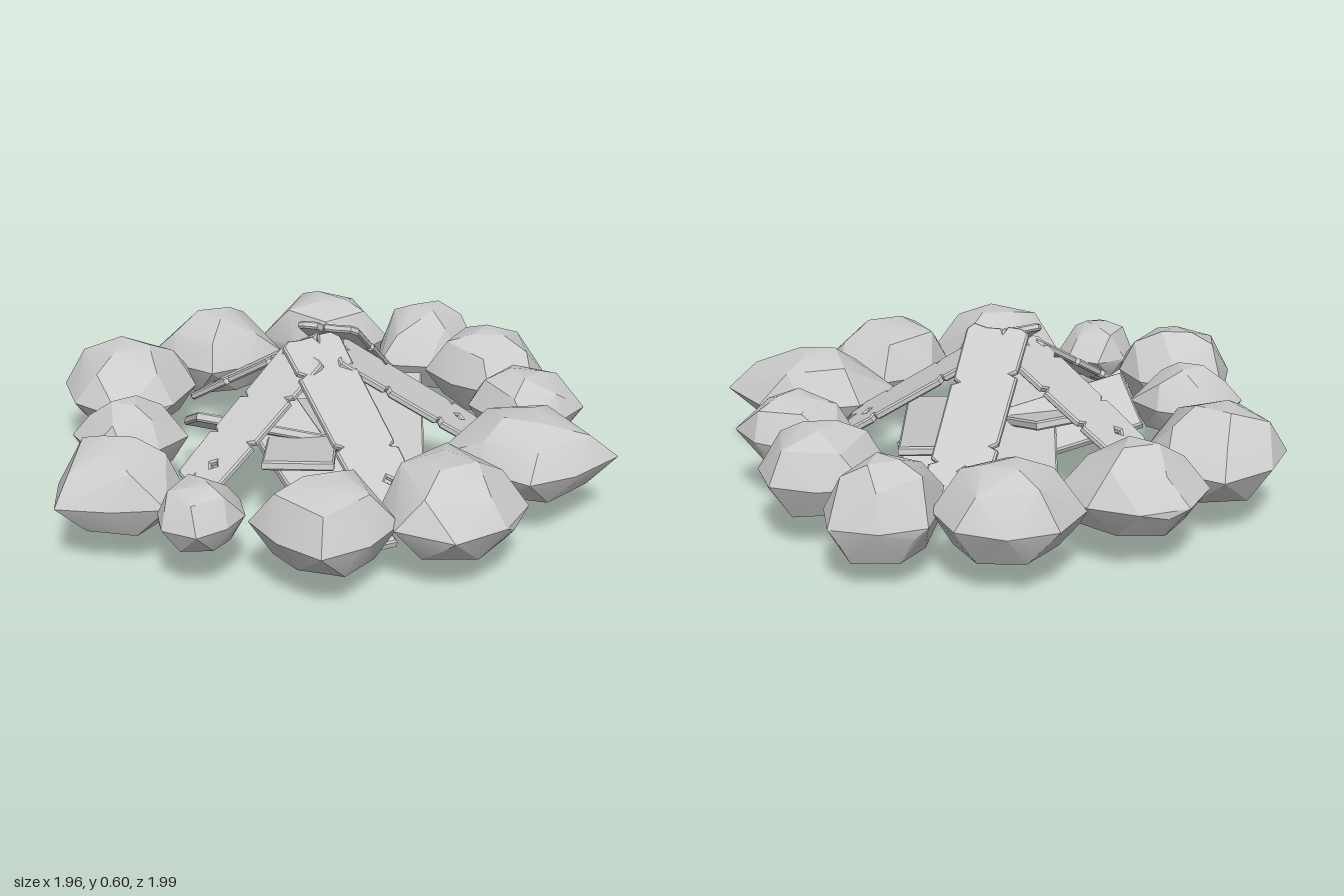
import * as THREE from 'three';
import { ConvexGeometry } from 'three/addons/geometries/ConvexGeometry.js';
import { toCreasedNormals } from 'three/addons/utils/BufferGeometryUtils.js';

const material = new THREE.MeshStandardMaterial({ color: 0xcccccc });

// Small seeded generator, returns values in -1..1
function seeded(seed) {
  let s = seed * 7919 + 17;
  return () => {
    s = (s * 16807) % 2147483647;
    return (s / 2147483647) * 2 - 1;
  };
}

// Faceted stone: hull of a wide waist, a shoulder, a small crown and a flat foot.
// radii: eight hundredths-of-a-unit reaches, starting at +x and turning toward +z
function makeStone(index, cx, cz, radii, bottom, top) {
  const rand = seeded(index + 1);
  rand(); rand();
  const points = [];
  const height = top - bottom;
  const reach = (angle) => {
    const t = ((angle / (Math.PI / 4)) % 8 + 8) % 8;
    const i = Math.floor(t);
    return THREE.MathUtils.lerp(radii[i], radii[(i + 1) % 8], t - i) / 100;
  };
  const ring = (count, scale, level, wobble, turn) => {
    for (let i = 0; i < count; i++) {
      const a = turn + (i / count) * Math.PI * 2;
      const r = reach(a) * scale * (1 + wobble * rand());
      const y = bottom + height * THREE.MathUtils.clamp(level + wobble * rand(), 0, 1);
      points.push(new THREE.Vector3(cx + Math.cos(a) * r, y, cz + Math.sin(a) * r));
    }
  };
  ring(8, 1, 0.43, 0, 0);
  ring(5, 0.88, 0.3, 0.06, rand());
  ring(5, 0.7, 0.82, 0.07, rand());
  ring(3, 0.3, 1, 0.03, rand() * 2);
  ring(6, 0.7, 0.02, 0.06, rand());
  const mesh = new THREE.Mesh(toCreasedNormals(new ConvexGeometry(points), 0.42), material);
  mesh.name = 'stone' + (index + 1);
  return mesh;
}

// Plank outline: plain rectangle, or worn with ragged ends, side nicks and a nail hole
function plankOutline(length, width, worn, seed) {
  const h = width / 2;
  if (!worn) {
    return new THREE.Shape([[0, -h], [length, -h], [length, h], [0, h]].map((p) => new THREE.Vector2(...p)));
  }
  const rand = seeded(seed);
  rand(); rand();
  const pts = [];
  const side = (sign) => {
    const edge = [[0.03, 0]];
    for (const at of [0.3, 0.72]) {
      const x = at + rand() * 0.1;
      edge.push([x - 0.02, 0.004], [x, 0.026], [x + 0.015, 0]);
    }
    edge.push([0.97, 0.008]);
    const mapped = edge.map(([t, d]) => new THREE.Vector2(t * length, sign * (h - d)));
    return sign < 0 ? mapped : mapped.reverse();
  };
  const end = (x, sign) => {
    for (const v of [-0.75, -0.3, -0.2, -0.1, 0.35, 0.8]) {
      const nick = v === -0.2 ? 0.03 : 0.008 * rand();
      pts.push(new THREE.Vector2(x - sign * nick, sign * v * h));
    }
  };
  pts.push(...side(-1));
  end(length, 1);
  pts.push(...side(1));
  end(0, -1);
  const shape = new THREE.Shape(pts);
  const hx = length * 0.85;
  const hy = 0.15 * h;
  const r = 0.016;
  shape.holes.push(new THREE.Path([[r, 0], [0, -r], [-r, 0], [0, r]].map(([x, y]) => new THREE.Vector2(hx + x, hy + y))));
  return shape;
}

// Plank laid between two end points, with roll about its length
function makePlank(name, from, to, width, { worn = false, roll = 0, seed = 1 } = {}) {
  const a = new THREE.Vector3(...from);
  const along = new THREE.Vector3(...to).sub(a);
  const length = along.length();
  along.normalize();
  const bevel = 0.006;
  const thickness = worn ? 0.026 : 0.032;
  const geometry = new THREE.ExtrudeGeometry(plankOutline(length, width, worn, seed), {
    depth: thickness - bevel * 2,
    bevelThickness: bevel,
    bevelSize: bevel,
    bevelOffset: -bevel,
    bevelSegments: 1,
  });
  geometry.translate(0, 0, bevel - thickness / 2);
  const across = new THREE.Vector3(0, 1, 0).cross(along).normalize();
  const normal = along.clone().cross(across);
  geometry.rotateX(roll);
  geometry.applyMatrix4(new THREE.Matrix4().makeBasis(along, across, normal).setPosition(a));
  const mesh = new THREE.Mesh(geometry, material);
  mesh.name = name;
  return mesh;
}

export function createModel() {
  const model = new THREE.Group();
  model.name = 'campfire';

  // Ring of stones
  const ring = new THREE.Group();
  ring.name = 'stoneRing';
  const stones = [
    [-0.04, -0.78, [24, 20, 20, 17, 25, 23, 22, 23], 0.12, 0.41],
    [0.35, -0.73, [19, 18, 20, 26, 18, 21, 20, 23], 0.1, 0.4],
    [0.57, -0.46, [21, 23, 21, 19, 23, 24, 20, 22], 0.13, 0.41],
    [0.69, -0.13, [21, 17, 20, 16, 20, 22, 19, 18], 0.16, 0.39],
    [0.67, 0.27, [31, 22, 23, 20, 30, 26, 23, 25], 0.15, 0.41],
    [0.42, 0.61, [24, 23, 27, 27, 23, 25, 26, 25], 0.13, 0.41],
    [0.01, 0.75, [24, 21, 24, 20, 24, 21, 23, 23], 0.13, 0.41],
    [-0.38, 0.72, [14, 13, 16, 16, 14, 15, 17, 16], 0.17, 0.37],
    [-0.67, 0.51, [21, 25, 20, 26, 20, 22, 20, 20], 0.13, 0.41],
    [-0.68, 0.16, [20, 16, 16, 17, 20, 18, 16, 16], 0.16, 0.39],
    [-0.74, -0.29, [24, 25, 30, 25, 24, 24, 29, 26], 0.13, 0.41],
    [-0.45, -0.61, [25, 20, 22, 20, 24, 23, 22, 23], 0.13, 0.41],
  ];
  stones.forEach((s, i) => ring.add(makeStone(i, ...s)));
  model.add(ring);

  // Worn planks leaning together at the middle
  const leaning = new THREE.Group();
  leaning.name = 'leaningPlanks';
  leaning.add(
    makePlank('backLeaningPlank', [-0.01, 0.595, -0.03], [0.14, 0.19, -0.58], 0.22, { worn: true, seed: 3 }),
    makePlank('frontLeaningPlank', [-0.07, 0.57, 0.02], [0.24, 0.2, 0.56], 0.22, { worn: true, seed: 5 }),
    makePlank('frontRightLeaningPlank', [-0.08, 0.53, 0.06], [-0.43, 0.22, 0.45], 0.2, { worn: true, seed: 8 }),
    makePlank('backRightLeaningPlank', [-0.07, 0.54, -0.03], [-0.46, 0.24, -0.28], 0.22, { worn: true, seed: 11 }),
    makePlank('leftLeaningPlank', [0.03, 0.52, 0], [0.52, 0.22, 0.02], 0.22, { worn: true, seed: 14 }),
  );
  model.add(leaning);

  // Plain planks heaped at the base
  const base = new THREE.Group();
  base.name = 'basePlanks';
  base.add(
    makePlank('middleBasePlank', [-0.09, 0.13, -0.41], [-0.09, 0.28, 0.42], 0.24),
    makePlank('leftBasePlank', [0.21, 0.27, -0.36], [0.22, 0.15, 0.44], 0.23),
    makePlank('crossBasePlank', [-0.48, 0.29, 0.08], [0.32, 0.075, -0.06], 0.25, { roll: -0.5 }),
    makePlank('frontBasePlank', [-0.24, 0.28, -0.1], [0.14, 0.07, 0.61], 0.23),
  );
  model.add(base);

  return model;
}
